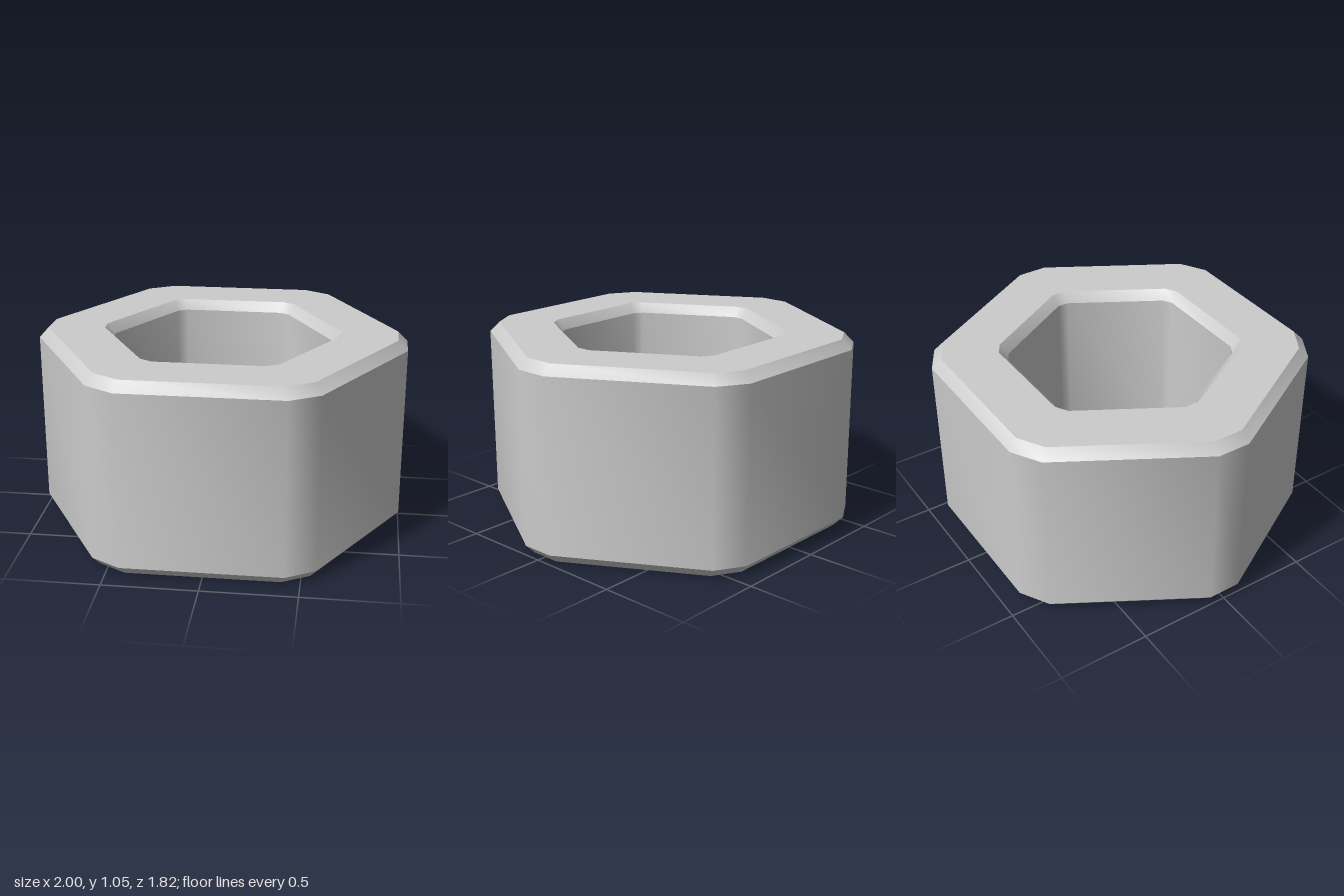
import * as THREE from 'three';
import { toCreasedNormals } from 'three/addons/utils/BufferGeometryUtils.js';

// Closed cross-section of the nut: [flat distance of the cut corner, half its width, height]
const HEIGHT = 1.053, BEVEL = 0.053;
const section = [
  [1.0, 0.09, BEVEL],            // outer wall
  [1.0, 0.09, HEIGHT - BEVEL],
  [0.948, 0.082, HEIGHT],        // top face
  [0.645, 0.038, HEIGHT],
  [0.6, 0.03, HEIGHT - BEVEL],   // hexagonal bore
  [0.6, 0.03, BEVEL],
  [0.645, 0.038, 0],             // bottom face
  [0.948, 0.082, 0],
];

// Hexagon ring whose six corners are cut off
function hexRing([r, half, y]) {
  const points = [];
  for (let i = 0; i < 6; i++) {
    const a = (i * Math.PI) / 3, c = Math.cos(a), s = Math.sin(a);
    for (const t of [-half, half]) points.push([r * c - t * s, y, r * s + t * c]);
  }
  return points;
}

// Join each ring to the next, the last one back to the first
function loft(rings) {
  const positions = [];
  rings.forEach((ring, j) => {
    const next = rings[(j + 1) % rings.length];
    for (let i = 0; i < ring.length; i++) {
      const k = (i + 1) % ring.length;
      positions.push(...ring[i], ...next[i], ...next[k], ...ring[i], ...next[k], ...ring[k]);
    }
  });
  const geometry = new THREE.BufferGeometry();
  geometry.setAttribute('position', new THREE.Float32BufferAttribute(positions, 3));
  geometry.computeVertexNormals();
  // Cut corners blend into the sides; bevels stay sharp
  return toCreasedNormals(geometry, 0.55);
}

export function createModel() {
  const group = new THREE.Group();
  group.name = 'hexNut';
  const body = new THREE.Mesh(
    loft(section.map(hexRing)),
    new THREE.MeshStandardMaterial({ color: 0xcccccc })
  );
  body.name = 'nutBody';
  group.add(body);
  return group;
}
